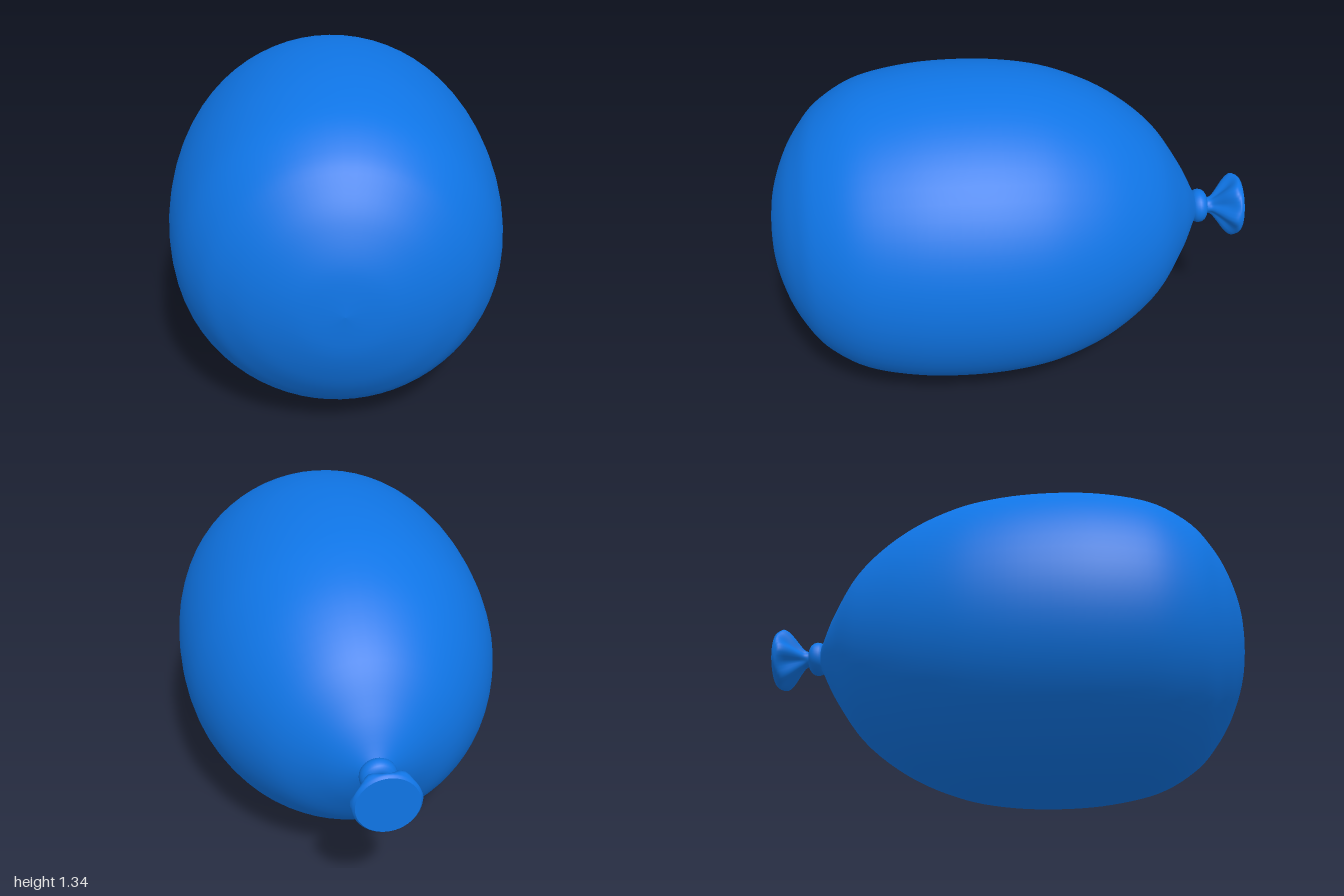
import * as THREE from 'three';
import { mergeVertices } from 'three/addons/utils/BufferGeometryUtils.js';

const CENTER_Y = 0.675;

// Smooth lathe from [radius, z] pairs (z ascending), its axis laid along z
function latheZ(profile, segments, divisions) {
  const curve = new THREE.SplineCurve(profile.map(([r, z]) => new THREE.Vector2(r, z)));
  const points = curve.getPoints(divisions);
  points.forEach((p) => { p.x = Math.max(p.x, 0); });
  return new THREE.LatheGeometry(points, segments).rotateX(Math.PI / 2);
}

export function createModel() {
  const group = new THREE.Group();
  group.name = 'balloon';
  const rubber = new THREE.MeshStandardMaterial({ color: 0x0f75e6 });
  rubber.name = 'blue rubber';

  const add = (name, geometry, z = 0) => {
    const mesh = new THREE.Mesh(geometry, rubber);
    mesh.name = name;
    mesh.position.set(0, CENTER_Y, z);
    group.add(mesh);
    return mesh;
  };

  // Egg-shaped body: blunt front, tapering to the neck
  add('body', latheZ([
    [0.03, -0.82], [0.075, -0.795], [0.21, -0.725], [0.385, -0.6], [0.53, -0.41],
    [0.62, -0.2], [0.66, 0], [0.671, 0.22], [0.657, 0.43], [0.612, 0.63],
    [0.525, 0.78], [0.43, 0.865], [0.32, 0.93], [0.17, 0.982], [0, 1],
  ], 64, 72));

  // Rolled knot around the neck
  add('knot', new THREE.TorusGeometry(0.038, 0.035, 16, 40), -0.825);

  // Flared tail, gathered into soft folds that fade toward the rim
  const tail = latheZ([
    [0.12, -1], [0.13, -0.985], [0.124, -0.965], [0.095, -0.935],
    [0.055, -0.9], [0.035, -0.875], [0.035, -0.84],
  ], 48, 28);
  tail.deleteAttribute('uv');
  tail.deleteAttribute('normal');
  const folded = mergeVertices(tail, 1e-5);
  const pos = folded.attributes.position;
  for (let i = 0; i < pos.count; i++) {
    const x = pos.getX(i), y = pos.getY(i), z = pos.getZ(i);
    const t = THREE.MathUtils.clamp((z + 0.985) / 0.12, 0, 1);
    const fold = 1 + 0.16 * Math.sin(Math.PI * t) * Math.cos(6 * Math.atan2(y, x));
    pos.setXY(i, x * fold, y * fold);
  }
  folded.computeVertexNormals();
  add('tail', folded);

  // Flat end of the tail
  add('tailEnd', new THREE.CircleGeometry(0.12, 48).rotateY(Math.PI), -1);

  return group;
}
